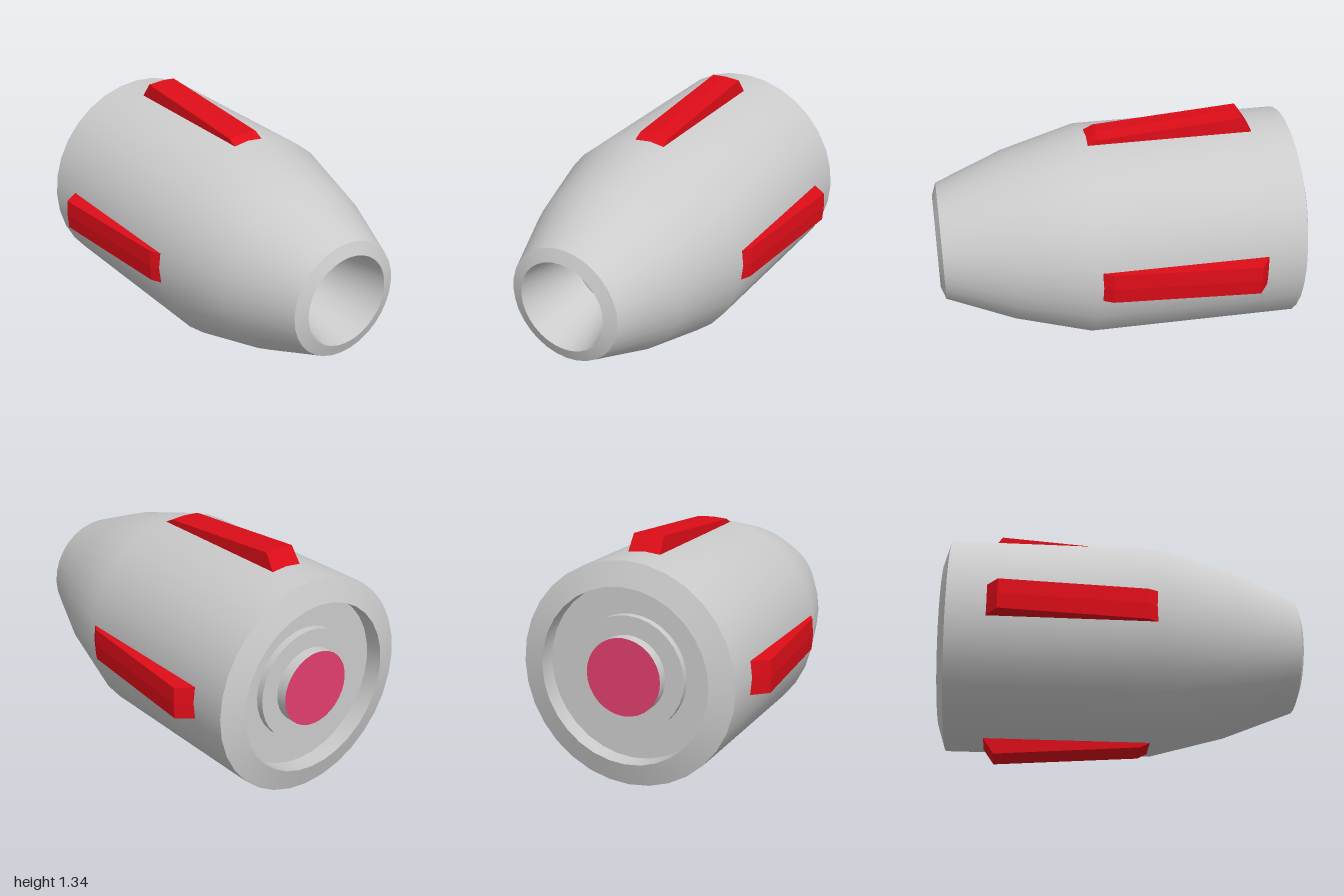
import * as THREE from 'three';
import { toCreasedNormals } from 'three/addons/utils/BufferGeometryUtils.js';

const CENTRE_Y = 0.673;
const SIDES = 32;

// Turned part: pairs of [radius, x], spun about the x axis
function turned(profile, material, name) {
  const points = profile.map(([r, x]) => new THREE.Vector2(r, x));
  const geometry = new THREE.LatheGeometry(points, SIDES).rotateZ(-Math.PI / 2);
  const mesh = new THREE.Mesh(toCreasedNormals(geometry, 0.5), material);
  mesh.name = name;
  return mesh;
}

// Wedge-shaped fin on the top of the hull, its outer face bent along the middle
function finGeometry() {
  const stations = [[-0.75, 0.585], [-0.69, 0.672], [0.1, 0.615], [0.16, 0.585]];
  const inner = 0.56;
  const sections = stations.map(([x, r]) => {
    const w = 0.09 - 0.005 * (r - 0.585) / 0.087;
    const edge = Math.sqrt(r * r - w * w);
    return [[x, inner, 0.09], [x, edge, w], [x, r, 0], [x, edge, -w], [x, inner, -0.09]];
  });
  const positions = [];
  const triangle = (a, b, c) => positions.push(...a, ...b, ...c);
  for (let i = 0; i < sections.length - 1; i++) {
    const a = sections[i], b = sections[i + 1];
    for (let j = 0; j < a.length; j++) {
      const k = (j + 1) % a.length;
      triangle(a[j], b[j], b[k]);
      triangle(a[j], b[k], a[k]);
    }
  }
  // End caps
  const first = sections[0], last = sections[sections.length - 1];
  for (let j = 1; j < 4; j++) {
    triangle(first[0], first[j], first[j + 1]);
    triangle(last[0], last[j + 1], last[j]);
  }
  const geometry = new THREE.BufferGeometry();
  geometry.setAttribute('position', new THREE.Float32BufferAttribute(positions, 3));
  geometry.computeVertexNormals();
  return geometry;
}

export function createModel() {
  const model = new THREE.Group();
  model.name = 'engineNozzle';
  const body = new THREE.Group();
  body.name = 'body';
  body.position.y = CENTRE_Y;
  model.add(body);

  const grey = new THREE.MeshStandardMaterial({ color: 0xcccccc });
  const red = new THREE.MeshStandardMaterial({ color: 0xdd0d18, flatShading: true });
  const pink = new THREE.MeshStandardMaterial({ color: 0xe13e6e });

  // Hull shell with chamfered ends and a narrowing nose
  body.add(turned([
    [0.465, -1], [0.59, -0.96], [0.59, 0.18], [0.475, 0.6], [0.325, 0.975], [0.255, 1],
  ], grey, 'hull'));

  // Tapered bore in the nose, closed at its floor
  body.add(turned([[0.255, 1], [0.177, 0.6], [0, 0.6]], grey, 'noseBore'));

  // Stepped hub inside the rear recess
  body.add(turned([
    [0.205, -1], [0.205, -0.94], [0.305, -0.94], [0.305, -0.9], [0.465, -0.9], [0.465, -1],
  ], grey, 'rearRecess'));

  // Coloured disc on the hub
  const disc = new THREE.Mesh(new THREE.CircleGeometry(0.205, SIDES).rotateY(-Math.PI / 2), pink);
  disc.name = 'hubDisc';
  disc.position.x = -1;
  body.add(disc);

  // Four fins around the hull
  const fin = finGeometry();
  ['topFin', 'frontFin', 'bottomFin', 'backFin'].forEach((name, i) => {
    const mesh = new THREE.Mesh(fin, red);
    mesh.name = name;
    mesh.rotation.x = i * Math.PI / 2;
    body.add(mesh);
  });

  return model;
}
